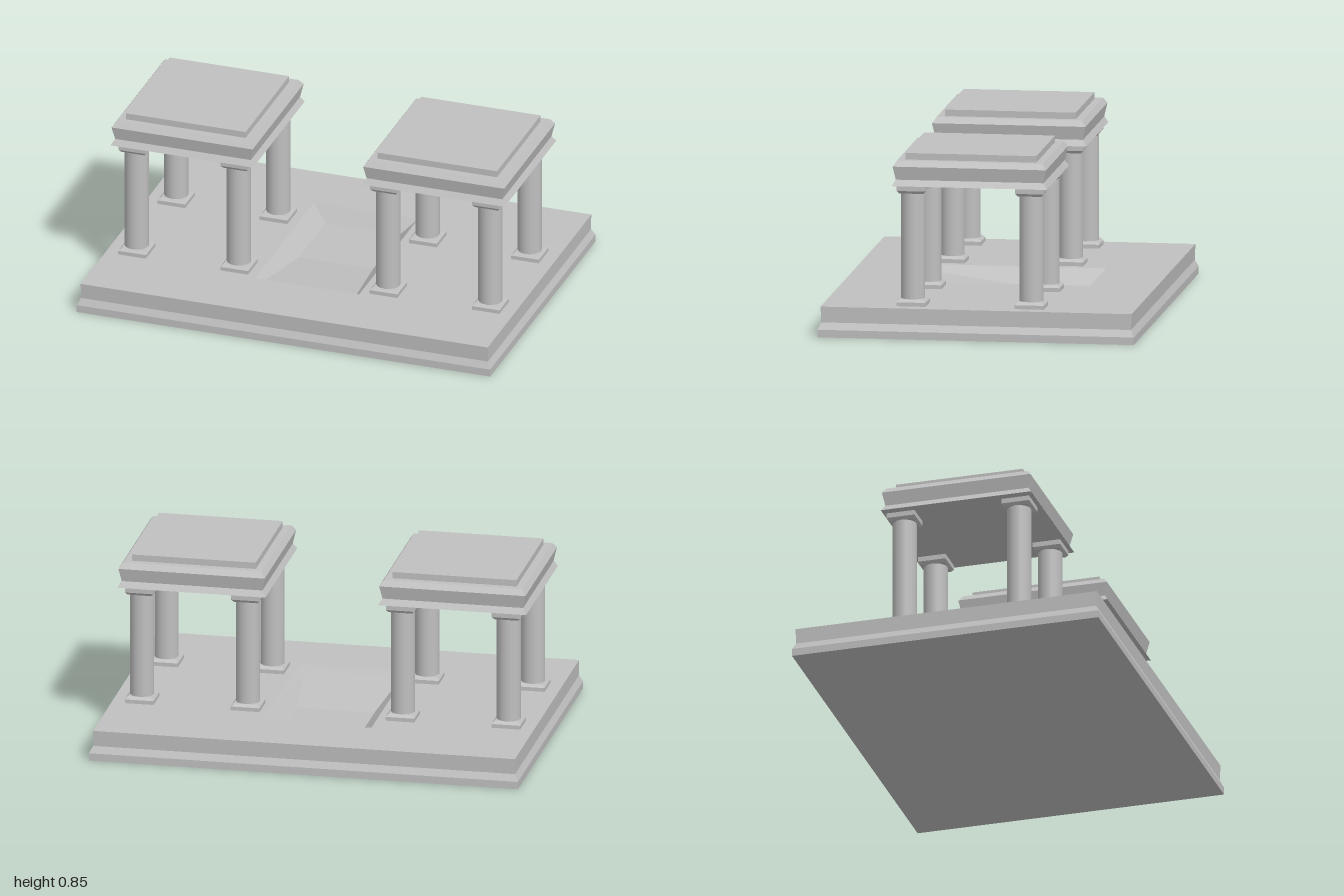
import * as THREE from 'three';

const stone = new THREE.MeshStandardMaterial({ color: 0xc0c0c0 });
stone.name = 'stone';

// Flat-shaded mesh from convex polygons, each counter-clockwise from outside
function polyMesh(name, polygons) {
  const pos = [];
  for (const p of polygons) {
    for (let i = 1; i < p.length - 1; i++) pos.push(...p[0], ...p[i], ...p[i + 1]);
  }
  const geo = new THREE.BufferGeometry();
  geo.setAttribute('position', new THREE.Float32BufferAttribute(pos, 3));
  geo.computeVertexNormals();
  const mesh = new THREE.Mesh(geo, stone);
  mesh.name = name;
  return mesh;
}

// Corner loop of a rectangle: back left, front left, front right, back right
const ring = (y, hx, hz) => [[-hx, y, -hz], [-hx, y, hz], [hx, y, hz], [hx, y, -hz]];

// Rectangular moulding: profile rows are [y, half width, half depth], bottom to top
function moulding(profile, capTop = true) {
  const rings = profile.map((r) => ring(...r));
  const polys = [[...rings[0]].reverse()];
  for (let k = 0; k < rings.length - 1; k++) {
    const a = rings[k], b = rings[k + 1];
    for (let i = 0; i < 4; i++) {
      const j = (i + 1) % 4;
      polys.push([a[i], a[j], b[j], b[i]]);
    }
  }
  if (capTop) polys.push(rings[rings.length - 1]);
  return polys;
}

function createPlinth() {
  const top = 0.14, low = 0.07;
  const group = new THREE.Group();
  group.name = 'plinth';
  const sides = [[0, 1, 0.73], [0.035, 1, 0.73], [0.067, 0.984, 0.715], [top, 0.984, 0.718]];
  const outer = ring(top, 0.984, 0.718);
  // Rim of the sunken ramp
  const A = [-0.252, top, -0.415], D = [-0.252, top, 0.4];
  const C = [0.252, top, 0.4], B = [0.252, top, -0.415];
  const rim = [A, D, C, B];
  const deck = rim.map((p, i) => {
    const j = (i + 1) % 4;
    return [outer[i], outer[j], rim[j], p];
  });
  group.add(polyMesh('plinthBody', [...moulding(sides, false), ...deck]));

  // Flat floor at the back, ramp rising to the front, sloping walls
  const a = [-0.18, low, -0.37], b = [0.18, low, -0.37];
  const n = [-0.18, low, 0], m = [0.18, low, 0];
  const d = [-0.225, 0.114, 0.385], c = [0.225, 0.114, 0.385];
  group.add(polyMesh('pitFloor', [[a, n, m, b]]));
  group.add(polyMesh('pitRamp', [[n, d, c, m]]));
  group.add(polyMesh('pitWalls', [[A, D, d, n, a], [B, b, m, c, C], [A, a, b, B], [D, C, c, d]]));
  return group;
}

function createColumn() {
  const column = new THREE.Group();
  column.name = 'column';
  const square = (rows) => moulding(rows.map(([y, h]) => [y, h, h]));
  column.add(polyMesh('columnBase', square([[0.14, 0.067], [0.158, 0.067], [0.171, 0.055]])));
  column.add(polyMesh('capital', square([[0.66, 0.055], [0.673, 0.066], [0.696, 0.066]])));
  const geo = new THREE.CylinderGeometry(0.056, 0.056, 0.5, 16);
  const shaft = new THREE.Mesh(geo, stone);
  shaft.name = 'shaft';
  shaft.position.y = 0.415;
  column.add(shaft);
  return column;
}

function createPavilion(name) {
  const pavilion = new THREE.Group();
  pavilion.name = name;
  for (const x of [-0.247, 0.247]) {
    for (const z of [-0.273, 0.273]) {
      const column = createColumn();
      column.position.set(x, 0, z);
      pavilion.add(column);
    }
  }
  // Flared cornice with a stepped slab on top
  const cornice = [[0.7, 0.345], [0.728, 0.328], [0.79, 0.341], [0.816, 0.323]];
  pavilion.add(polyMesh('cornice', moulding(cornice.map(([y, h]) => [y, h, h + 0.013]))));
  pavilion.add(polyMesh('roofSlab', moulding([[0.816, 0.289, 0.302], [0.846, 0.289, 0.302]])));
  return pavilion;
}

export function createModel() {
  const model = new THREE.Group();
  model.name = 'twinPavilions';
  model.add(createPlinth());
  for (const [name, side] of [['leftPavilion', 1], ['rightPavilion', -1]]) {
    const pavilion = createPavilion(name);
    pavilion.position.set(side * 0.608, 0, 0.037);
    model.add(pavilion);
  }
  return model;
}
